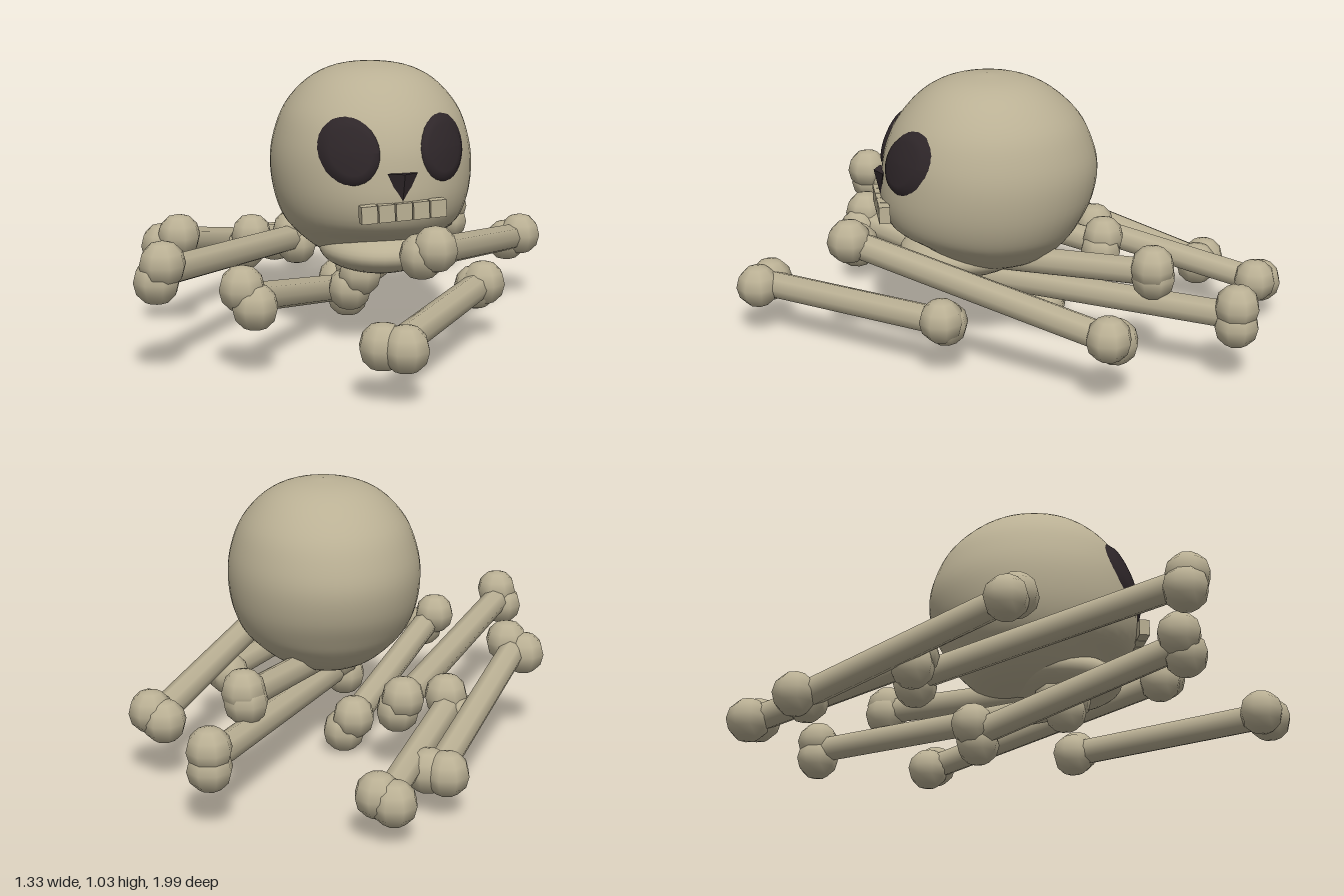
import * as THREE from 'three';
import { mergeVertices } from 'three/addons/utils/BufferGeometryUtils.js';

const bone = new THREE.MeshStandardMaterial({ color: 0xbab094 });
bone.name = 'bone';
const dark = new THREE.MeshStandardMaterial({ color: 0x2e2629 });
dark.name = 'dark hollow';

function add(parent, name, geometry, material, x = 0, y = 0, z = 0) {
  const mesh = new THREE.Mesh(geometry, material);
  mesh.name = name;
  mesh.position.set(x, y, z);
  parent.add(mesh);
  return mesh;
}

// Skull cross-sections from top to bottom: height, half width, front depth, back depth
const SECTIONS = [
  [1.02, 0, 0, 0], [1.0, 0.135, 0.14, 0.14], [0.95, 0.235, 0.24, 0.245], [0.86, 0.315, 0.325, 0.34],
  [0.76, 0.355, 0.375, 0.39], [0.66, 0.37, 0.395, 0.41], [0.55, 0.36, 0.4, 0.39], [0.46, 0.33, 0.365, 0.345],
  [0.4, 0.285, 0.27, 0.305], [0.33, 0.2, 0.19, 0.235], [0.29, 0.1, 0.12, 0.13], [0.28, 0, 0, 0],
];
const profile = (k) => new THREE.CatmullRomCurve3(
  SECTIONS.map((s) => new THREE.Vector3(s[1], s[0], s[k])), false, 'catmullrom', 0.5);
const frontCurve = profile(2);
const backCurve = profile(3);

function skullGeometry() {
  const g = new THREE.SphereGeometry(1, 48, 44);
  const p = g.attributes.position;
  for (let i = 0; i < p.count; i++) {
    const t = THREE.MathUtils.clamp(Math.acos(THREE.MathUtils.clamp(p.getY(i), -1, 1)) / Math.PI, 0, 1);
    const a = Math.atan2(p.getX(i), p.getZ(i));
    const s = (Math.cos(a) >= 0 ? frontCurve : backCurve).getPoint(t);
    p.setXYZ(i, s.x * Math.sin(a), s.y, s.z * Math.cos(a));
  }
  g.deleteAttribute('normal');
  g.deleteAttribute('uv');
  const merged = mergeVertices(g, 1e-4);
  merged.computeVertexNormals();
  return merged;
}

// Depth of the face surface at a sideways position and height
function faceDepth(x, y) {
  let lo = 0, hi = 1;
  for (let i = 0; i < 30; i++) {
    const mid = (lo + hi) / 2;
    if (frontCurve.getPoint(mid).y > y) lo = mid; else hi = mid;
  }
  const s = frontCurve.getPoint(lo);
  return s.z * Math.sqrt(Math.max(0, 1 - (x / s.x) ** 2));
}

// Oval eye patch that follows the curve of the face, with its rim tucked in
function eyeGeometry(cx, cy) {
  const g = new THREE.RingGeometry(0.001, 1, 28, 6);
  const p = g.attributes.position;
  for (let i = 0; i < p.count; i++) {
    const r = Math.hypot(p.getX(i), p.getY(i));
    const x = cx + p.getX(i) * 0.1;
    const y = cy + p.getY(i) * 0.12;
    p.setXYZ(i, x, y, faceDepth(x, y) + (r > 0.99 ? -0.004 : 0.014));
  }
  g.computeVertexNormals();
  return g;
}

function makeSkull() {
  const skull = new THREE.Group();
  skull.name = 'skull';
  add(skull, 'cranium', skullGeometry(), bone);

  // Lower jaw tucked under the face
  add(skull, 'lowerJaw', new THREE.SphereGeometry(1, 32, 20), bone, 0, 0.345, 0.1).scale.set(0.215, 0.088, 0.235);

  for (const side of [-1, 1]) {
    add(skull, side > 0 ? 'leftEye' : 'rightEye', eyeGeometry(side * 0.172, 0.742), dark);
  }

  // Nose hollow: a narrow wedge pointing down
  const nose = add(skull, 'nose', new THREE.ConeGeometry(0.055, 0.12, 4).toNonIndexed(), dark, 0, 0.61, 0.397);
  nose.geometry.computeVertexNormals();
  nose.rotation.x = Math.PI;
  nose.scale.z = 0.5;

  // Straight row of teeth
  const teeth = new THREE.Group();
  teeth.name = 'teeth';
  teeth.position.set(0, 0.537, 0.4);
  teeth.rotation.z = 0.04;
  for (let i = -2; i <= 2; i++) {
    add(teeth, 'tooth', new THREE.BoxGeometry(0.058, 0.062, 0.04), bone, i * 0.063, 0, 0);
  }
  skull.add(teeth);

  skull.position.set(0.145, 0, 0.08);
  skull.rotation.y = 0.66;
  return skull;
}

// Long bone: a shaft with two knobs at each end; knob offsets are in x and y
const knobGeometry = new THREE.SphereGeometry(0.083, 8, 6);
function makeBone([start, startKnob, end, endKnob]) {
  const group = new THREE.Group();
  group.name = 'longBone';
  const a = new THREE.Vector3(...start);
  const b = new THREE.Vector3(...end);
  const shaft = add(group, 'shaft', new THREE.CylinderGeometry(0.052, 0.052, a.distanceTo(b), 8), bone);
  shaft.position.copy(a).lerp(b, 0.5);
  shaft.quaternion.setFromUnitVectors(new THREE.Vector3(0, 1, 0), b.clone().sub(a).normalize());
  for (const [c, k] of [[a, startKnob], [b, endKnob]]) {
    for (const s of [-1, 1]) add(group, 'knob', knobGeometry, bone, c.x + s * k[0], c.y + s * k[1], c.z);
  }
  return group;
}

// Front end, knob offset, back end, knob offset
const BONES = [
  [[-0.44, 0.25, -0.085], [0.015, 0.03], [-0.47, 0.15, -0.775], [0.03, 0.01]],
  [[-0.542, 0.345, 0.37], [0.035, 0.02], [-0.55, 0.155, -0.5], [0.035, 0]],
  [[-0.295, 0.37, 0.91], [0.012, 0.03], [-0.285, 0.26, -0.19], [0.01, -0.025]],
  [[-0.03, 0.275, 0.77], [0.025, -0.03], [-0.03, 0.105, -0.08], [0.02, -0.03]],
  [[0.14, 0.22, 0.22], [0.02, 0.03], [0.12, 0.25, -0.917], [0, 0.035]],
  [[0.15, 0.3, 0.18], [0.02, 0.03], [0.145, 0.365, -0.6], [0.005, 0.02]],
  [[0.505, 0.41, 0.45], [0.025, 0.015], [0.5, 0.24, -0.61], [0.028, 0.015]],
  [[0.53, 0.185, 0.85], [0.04, 0], [0.56, 0.2, 0.03], [0.015, 0.01]],
];

export function createModel() {
  const model = new THREE.Group();
  model.name = 'skullAndBones';
  model.add(makeSkull());
  for (const b of BONES) model.add(makeBone(b));
  return model;
}
